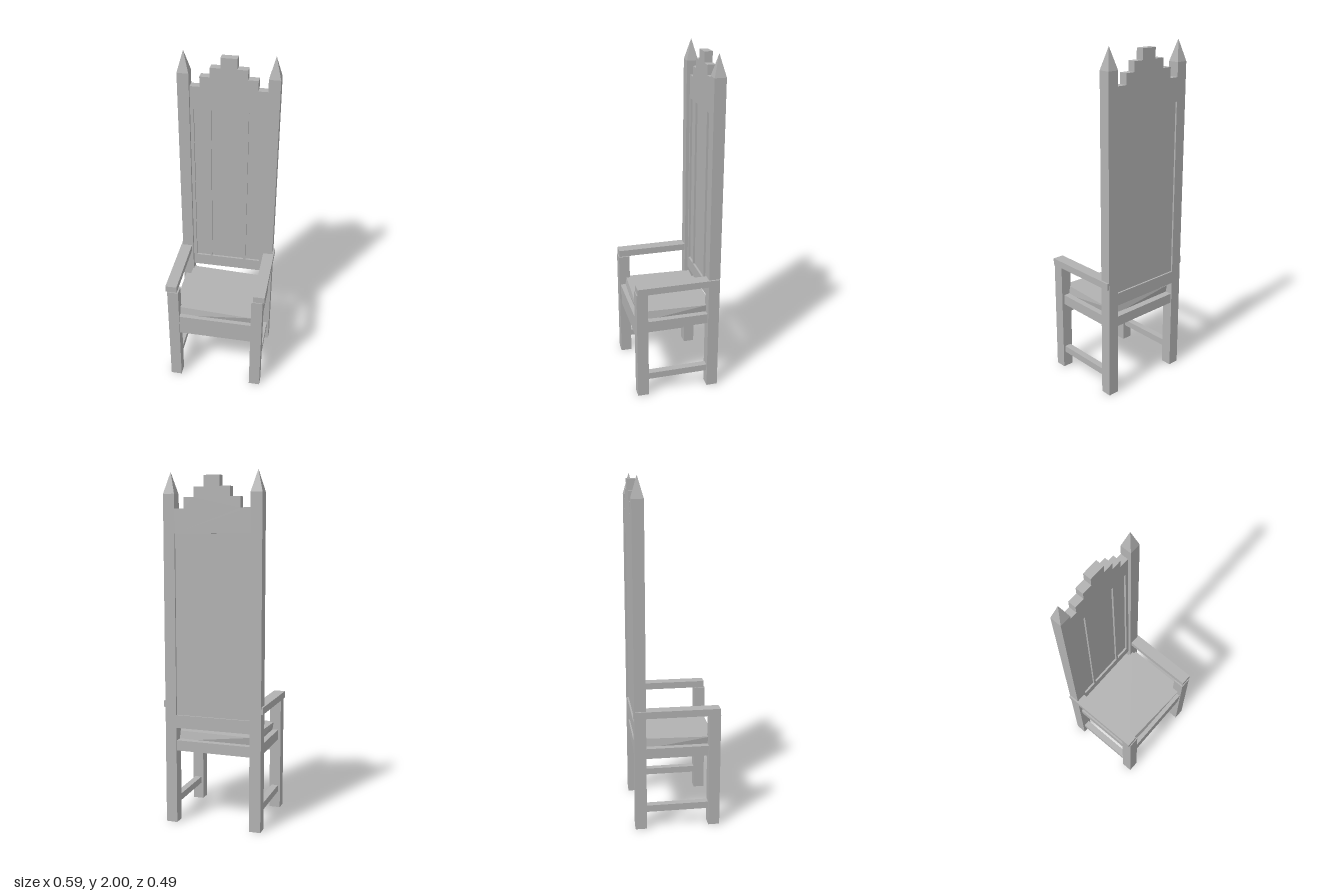
import * as THREE from 'three';

const stone = new THREE.MeshStandardMaterial({ color: 0xb2b2b2 });
stone.name = 'plain grey';

export function createModel() {
  const chair = new THREE.Group();
  chair.name = 'highBackedChair';

  const add = (name, geometry) => {
    const mesh = new THREE.Mesh(geometry, stone);
    mesh.name = name;
    chair.add(mesh);
    return mesh;
  };
  // Box given by its limits on each axis
  const box = (name, x0, x1, y0, y1, z0, z1) => {
    const mesh = add(name, new THREE.BoxGeometry(x1 - x0, y1 - y0, z1 - z0));
    mesh.position.set((x0 + x1) / 2, (y0 + y1) / 2, (z0 + z1) / 2);
    return mesh;
  };
  // Same box on both sides of the chair
  const pair = (name, x0, x1, ...rest) => {
    box(name + 'Left', x0, x1, ...rest);
    box(name + 'Right', -x1, -x0, ...rest);
  };

  // Legs, back posts, arms and side stretchers
  pair('frontLeg', 0.219, 0.285, 0, 0.68, 0.18, 0.246);
  pair('backPost', 0.219, 0.285, 0, 1.88, -0.247, -0.181);
  pair('armrest', 0.228, 0.295, 0.68, 0.72, -0.243, 0.241);
  pair('sideStretcher', 0.232, 0.272, 0.1, 0.14, -0.19, 0.19);

  // Pointed post caps
  for (const [side, s] of [['Left', 1], ['Right', -1]]) {
    const cap = new THREE.ConeGeometry(0.033 * Math.SQRT2, 0.12, 4).rotateY(Math.PI / 4).toNonIndexed();
    cap.computeVertexNormals();
    add('postCap' + side, cap).position.set(s * 0.252, 1.94, -0.214);
  }

  // Seat
  box('seatBoard', -0.27, 0.27, 0.43, 0.49, -0.24, 0.24);
  box('frontApron', -0.22, 0.22, 0.355, 0.43, 0.2, 0.235);

  // Cushion whose top is turned slightly against its base
  let cushion = new THREE.BoxGeometry(0.464, 0.06, 0.408);
  const p = cushion.attributes.position;
  const turn = 0.047;
  for (let i = 0; i < p.count; i++) {
    if (p.getY(i) < 0) continue;
    const x = p.getX(i), z = p.getZ(i);
    p.setX(i, x * Math.cos(turn) - z * Math.sin(turn));
    p.setZ(i, z * Math.cos(turn) + x * Math.sin(turn));
  }
  // Side quads split from lower left to upper right
  const order = [];
  for (let f = 0; f < 6; f++) {
    const [a, b, c, d] = [0, 1, 2, 3].map((k) => f * 4 + k);
    order.push(a, c, b, c, d, b);
  }
  cushion.setIndex(order);
  cushion = cushion.toNonIndexed();
  cushion.computeVertexNormals();
  add('cushion', cushion).position.set(0, 0.505, 0.0075);

  // Backrest: rail, recessed panel, stiles and thin ribs
  box('backBottomRail', -0.22, 0.22, 0.565, 0.64, -0.247, -0.2);
  box('backPanel', -0.22, 0.22, 0.64, 1.665, -0.237, -0.212);
  pair('backStile', 0.2, 0.22, 0.64, 1.665, -0.215, -0.2);
  pair('backRib', 0.1, 0.114, 0.64, 1.665, -0.215, -0.2);

  // Stepped crest
  const steps = [[0.22, 1.8], [0.163, 1.86], [0.105, 1.915], [0.046, 1.975]];
  const half = [[0.22, 1.665]];
  steps.forEach(([x, y], i) => {
    half.push([x, y]);
    if (i < steps.length - 1) half.push([steps[i + 1][0], y]);
  });
  const outline = [...half, ...half.map(([x, y]) => [-x, y]).reverse()];
  const crest = new THREE.Shape(outline.map(([x, y]) => new THREE.Vector2(x, y)));
  add('backCrest', new THREE.ExtrudeGeometry(crest, { depth: 0.047, bevelEnabled: false }))
    .position.z = -0.247;

  return chair;
}
